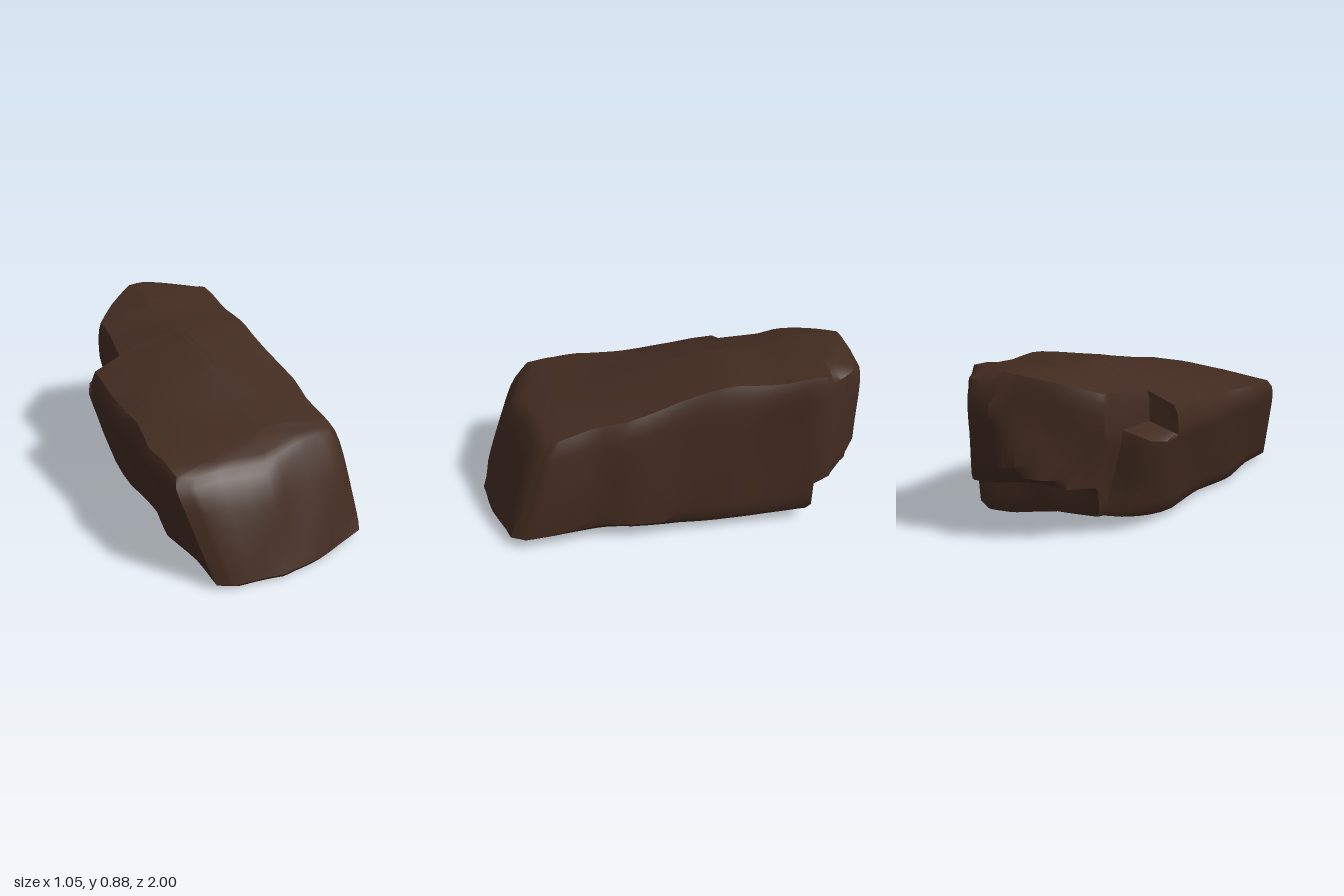
import * as THREE from 'three';
import { toCreasedNormals } from 'three/addons/utils/BufferGeometryUtils.js';

const clamp = (t, a = 0, b = 1) => Math.min(b, Math.max(a, t));
const lerp = THREE.MathUtils.lerp;

// widest plan outline [x, z], counter-clockwise from the front
const OUTLINE = [
  [-0.07, 1.015], [0.2, 0.965], [0.48, 0.885], [0.52, 0.81], [0.515, 0.65], [0.505, 0.42], [0.525, 0.25],
  [0.505, 0], [0.51, -0.2], [0.495, -0.45], [0.5, -0.75], [0.43, -0.86], [0.36, -0.95], [0.2, -1],
  [0.05, -0.92], [-0.12, -0.8], [-0.25, -0.69], [-0.265, -0.55], [-0.4, -0.5], [-0.45, -0.42],
  [-0.47, -0.34], [-0.48, 0], [-0.485, 0.2], [-0.53, 0.43], [-0.515, 0.7], [-0.52, 0.93], [-0.44, 0.975],
];

// ridge height along z
const RIDGE = [
  [-1, 0.86], [-0.92, 0.885], [-0.65, 0.868], [-0.5, 0.835], [-0.25, 0.83], [0, 0.77], [0.18, 0.72],
  [0.37, 0.67], [0.6, 0.62], [0.7, 0.59], [0.77, 0.555], [1, 0.5],
];

function topHeight(x, z) {
  let i = 0;
  while (i < RIDGE.length - 2 && RIDGE[i + 1][0] < z) i++;
  const [z0, y0] = RIDGE[i], [z1, y1] = RIDGE[i + 1];
  const y = lerp(y0, y1, clamp((z - z0) / (z1 - z0)));
  const drop = 0.18 * Math.pow(clamp((0.05 - x) / 0.5, 0, 1.2), 1.2) * clamp((0.9 - z) / 1.1);
  return y - drop - lerp(0.025, 0.045, clamp(z / 0.5)) * clamp((x - 0.2) / 0.25);
}

// underside, raised along the +x edge and ramping up at the rear
function bottomHeight(x, z) {
  const edge = clamp((x - 0.3) / 0.2) * (0.03 + 0.03 * clamp(1 - Math.abs(z - 0.35) / 0.45));
  const ramp = clamp((-0.15 - z) / 0.55);
  return 0.002 + 0.014 * clamp(1 - z) + edge + ramp * (0.02 + 0.09 * clamp((0.45 - x) / 0.4));
}

// rings from the underside, up the sides and over the top:
// v = height fraction, inset = pull to the spine, back = rear limit, notch = broken upper rear corner,
// cut / chamfer = trim of the -x / +x rear corner
const LEVELS = [
  { v: 0, inset: 1.03, back: -0.67, cut: 0.08 }, { v: 0, inset: 0.35, back: -0.67, cut: 0.08 },
  { v: 0, inset: 0.07, back: -0.68, cut: 0.08 }, { v: 0.05, inset: 0, back: -0.7, cut: 0.08 },
  { v: 0.14, inset: 0, back: -0.7, cut: 0.06 }, { v: 0.22, inset: 0, back: -0.7, cut: 0.04 },
  { v: 0.25, inset: 0, back: -0.8 }, { v: 0.32, inset: 0, back: -0.9 },
  { v: 0.42, inset: 0, back: -0.96 }, { v: 0.58, inset: 0, back: -0.955 },
  { v: 0.68, inset: 0, back: -0.97 }, { v: 0.73, inset: 0, back: -0.985 },
  { v: 0.77, inset: 0, back: -1, notch: true }, { v: 0.85, inset: 0, back: -1, notch: true },
  { v: 0.94, inset: 0.01, back: -0.965, chamfer: 0.07, notch: true },
  { v: 1, inset: 0.05, back: -0.93, chamfer: 0.16, notch: true },
  { v: 1, inset: 0.3, back: -0.93, chamfer: 0.16, notch: true },
  { v: 1, inset: 0.65, back: -0.93, chamfer: 0.16, notch: true },
  { v: 1, inset: 1.04, back: -0.93, chamfer: 0.16, notch: true },
];

function rockPoint(px, pz, { v, inset, back, cut = 0, chamfer = 0, notch = false }) {
  let x = px, z = pz;
  const y0 = v * topHeight(px, pz);
  // rear underside shelf and broken rear corners
  z = Math.max(z, back + cut * clamp((0.1 - px) / 0.35) + chamfer * clamp((px - 0.15) / 0.3));
  if (notch && px < -0.27) z = Math.max(z, -0.34);
  // sides lean: the -x side undercuts, the +x side tilts in
  if (px < 0) {
    x += clamp(-px / 0.4) * 0.14 * clamp(1 - y0 / 0.5);
  } else {
    x -= clamp(px / 0.45) * v * v * lerp(0.01, 0.06, clamp((pz + 0.75) / 0.6));
  }
  // sloping front face, rounded at the lip
  z -= (0.33 * y0 + 0.05 * Math.pow(v, 6)) * clamp((pz - 0.45) / 0.4);
  // pull to the spine
  x = lerp(x, 0.05, inset);
  z = lerp(z, clamp(z, -0.72, 0.6), inset);
  // worn, uneven surface
  const flank = clamp(1 - inset);
  x += 0.006 * flank * Math.sin(11 * z + 9 * y0);
  z += 0.006 * flank * Math.sin(13 * x - 8 * y0);
  const bump = 0.006 * v * Math.sin(7 * x + 2) * Math.sin(9 * z + 1);
  return [x, lerp(bottomHeight(x, z), topHeight(x, z), v) + bump, z];
}

function rockGeometry() {
  // three steps along each outline edge
  const plan = OUTLINE.flatMap(([x, z], i) => {
    const [x1, z1] = OUTLINE[(i + 1) % OUTLINE.length];
    return [0, 1 / 3, 2 / 3].map((t) => [lerp(x, x1, t), lerp(z, z1, t)]);
  });
  const n = plan.length;
  const positions = LEVELS.flatMap((level) => plan.flatMap(([x, z]) => rockPoint(x, z, level)));
  const index = [];
  for (let i = 0; i < LEVELS.length - 1; i++) {
    for (let j = 0; j < n; j++) {
      const a = i * n + j, b = i * n + ((j + 1) % n);
      index.push(a, b, b + n, a, b + n, a + n);
    }
  }
  const geometry = new THREE.BufferGeometry();
  geometry.setAttribute('position', new THREE.Float32BufferAttribute(positions, 3));
  geometry.setIndex(index);
  return toCreasedNormals(geometry, 0.75);
}

export function createModel() {
  const group = new THREE.Group();
  group.name = 'boulder';
  const stone = new THREE.MeshStandardMaterial({ color: 0x422b20 });
  stone.name = 'brown stone';
  const rock = new THREE.Mesh(rockGeometry(), stone);
  rock.name = 'rock';
  group.add(rock);
  return group;
}
